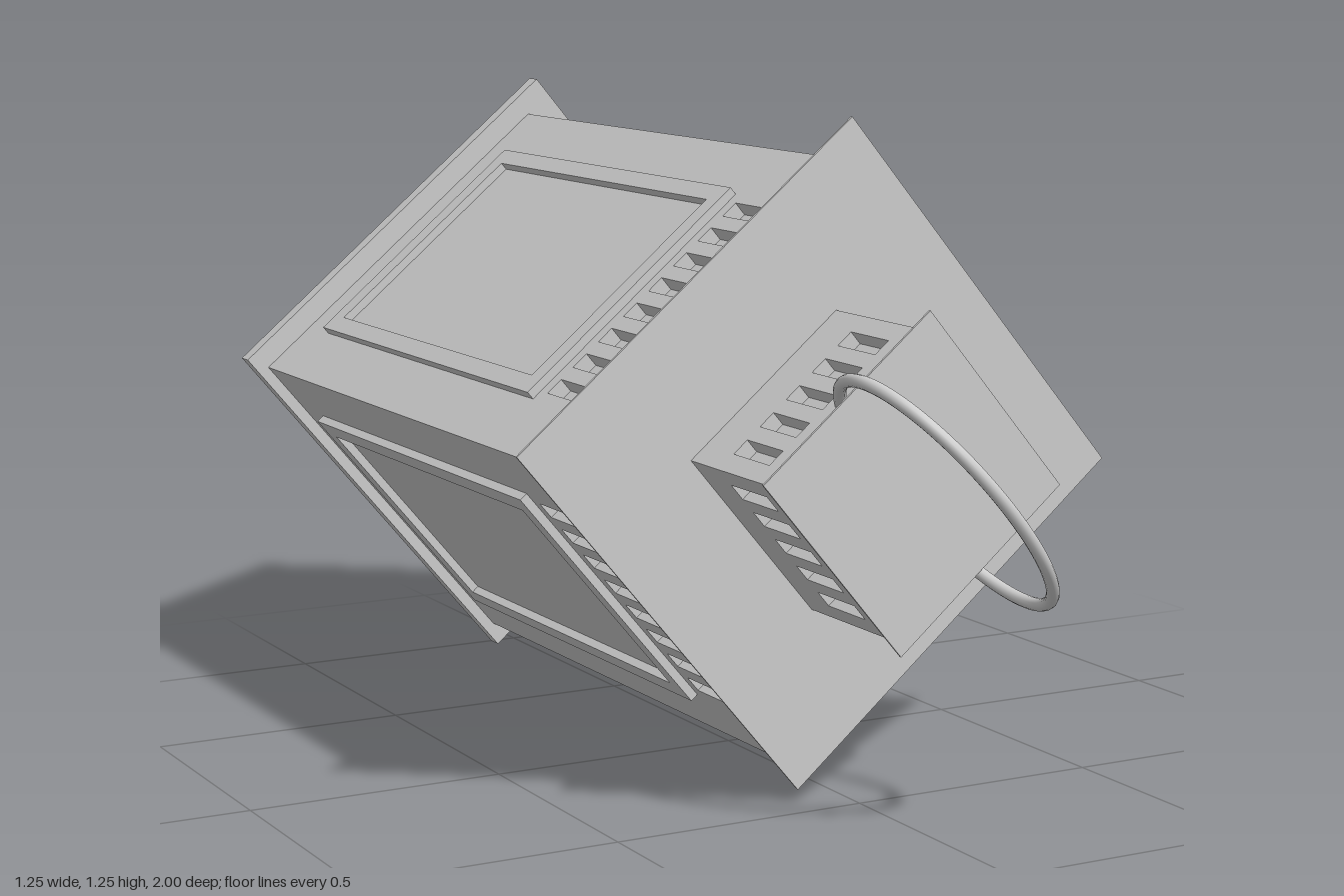
import * as THREE from 'three';

const grey = new THREE.MeshStandardMaterial({ color: 0xcccccc, flatShading: true });
const smoothGrey = new THREE.MeshStandardMaterial({ color: 0xcccccc });

function add(parent, name, geometry, material = grey) {
  const mesh = new THREE.Mesh(geometry, material);
  mesh.name = name;
  parent.add(mesh);
  return mesh;
}

// Counter-clockwise rectangle; the y of the outline runs along -z once laid flat
function rectangle(Type, x0, x1, z0, z1) {
  return new Type([[x0, -z0], [x0, -z1], [x1, -z1], [x1, -z0]].map(p => new THREE.Vector2(...p)));
}

// Extrude an outline outwards (+y), with its inner face at height y
function slab(shape, depth, y) {
  return new THREE.ExtrudeGeometry(shape, { depth, bevelEnabled: false })
    .rotateX(-Math.PI / 2).translate(0, y, 0);
}

function plate(parent, name, size, z0, z1) {
  add(parent, name, new THREE.BoxGeometry(size, size, z1 - z0)).position.z = (z0 + z1) / 2;
}

// Square housing of four slotted walls around a solid core
function housing(name, { size, z0, z1, slots, pitch, slotZ, window }) {
  const group = new THREE.Group();
  group.name = name;
  const half = size / 2, wall = 0.03, slotHalf = 0.018;

  const shape = rectangle(THREE.Shape, -half, half - wall, z0, z1);
  for (let i = 0; i < slots; i++) {
    const x = (i - (slots - 1) / 2) * pitch;
    shape.holes.push(rectangle(THREE.Path, x - slotHalf, x + slotHalf, ...slotZ));
  }

  // Shallow recess behind the window pane
  let frameGeometry;
  if (window) {
    const { outer, inner, outerZ, innerZ, depth } = window;
    const frame = rectangle(THREE.Shape, -outer, outer, ...outerZ);
    frame.holes.push(rectangle(THREE.Path, -inner, inner, ...innerZ));
    frameGeometry = slab(frame, depth, half);
  }
  const wallGeometry = slab(shape, wall, half - wall);

  for (let k = 0; k < 4; k++) {
    const side = new THREE.Group();
    side.name = name + 'Side';
    side.rotation.z = k * Math.PI / 2;
    add(side, 'slottedWall', wallGeometry);
    if (frameGeometry) add(side, 'windowFrame', frameGeometry);
    group.add(side);
  }
  plate(group, 'core', size - 2 * wall, z0, z1);
  return group;
}

export function createModel() {
  const model = new THREE.Group();
  model.name = 'lantern';

  // The lantern lies along z, turned about its own axis
  const lantern = new THREE.Group();
  lantern.name = 'lyingLantern';
  lantern.position.y = 0.63;
  lantern.rotation.z = THREE.MathUtils.degToRad(40);
  model.add(lantern);

  // Base, roof and cap plates
  plate(lantern, 'basePlate', 0.89, -1, -0.965);
  plate(lantern, 'roofPlate', 0.89, 0.363, 0.368);
  plate(lantern, 'capPlate', 0.438, 0.677, 0.682);

  // Main body with windows, sitting slightly off centre
  const body = housing('body', {
    size: 0.802, z0: -0.965, z1: 0.363, slots: 8, pitch: 0.068, slotZ: [0.168, 0.295],
    window: { outer: 0.277, inner: 0.239, outerZ: [-0.86, 0.14], innerZ: [-0.815, 0.098], depth: 0.017 },
  });
  body.position.set(-0.021, 0, 0);
  lantern.add(body);

  // Smaller vented chimney
  const chimney = housing('chimney', {
    size: 0.396, z0: 0.368, z1: 0.677, slots: 5, pitch: 0.07, slotZ: [0.472, 0.6],
  });
  chimney.position.set(-0.005, -0.003, 0);
  lantern.add(chimney);

  // Oval carrying ring whose ends run into the chimney walls
  const points = [];
  for (let i = 0; i <= 40; i++) {
    const a = THREE.MathUtils.lerp(-0.88, Math.PI + 0.88, i / 40);
    points.push(new THREE.Vector3(0, 0.276 * Math.cos(a), 0.78 + 0.207 * Math.sin(a)));
  }
  add(lantern, 'carryingRing',
    new THREE.TubeGeometry(new THREE.CatmullRomCurve3(points), 80, 0.012, 12), smoothGrey);

  return model;
}
